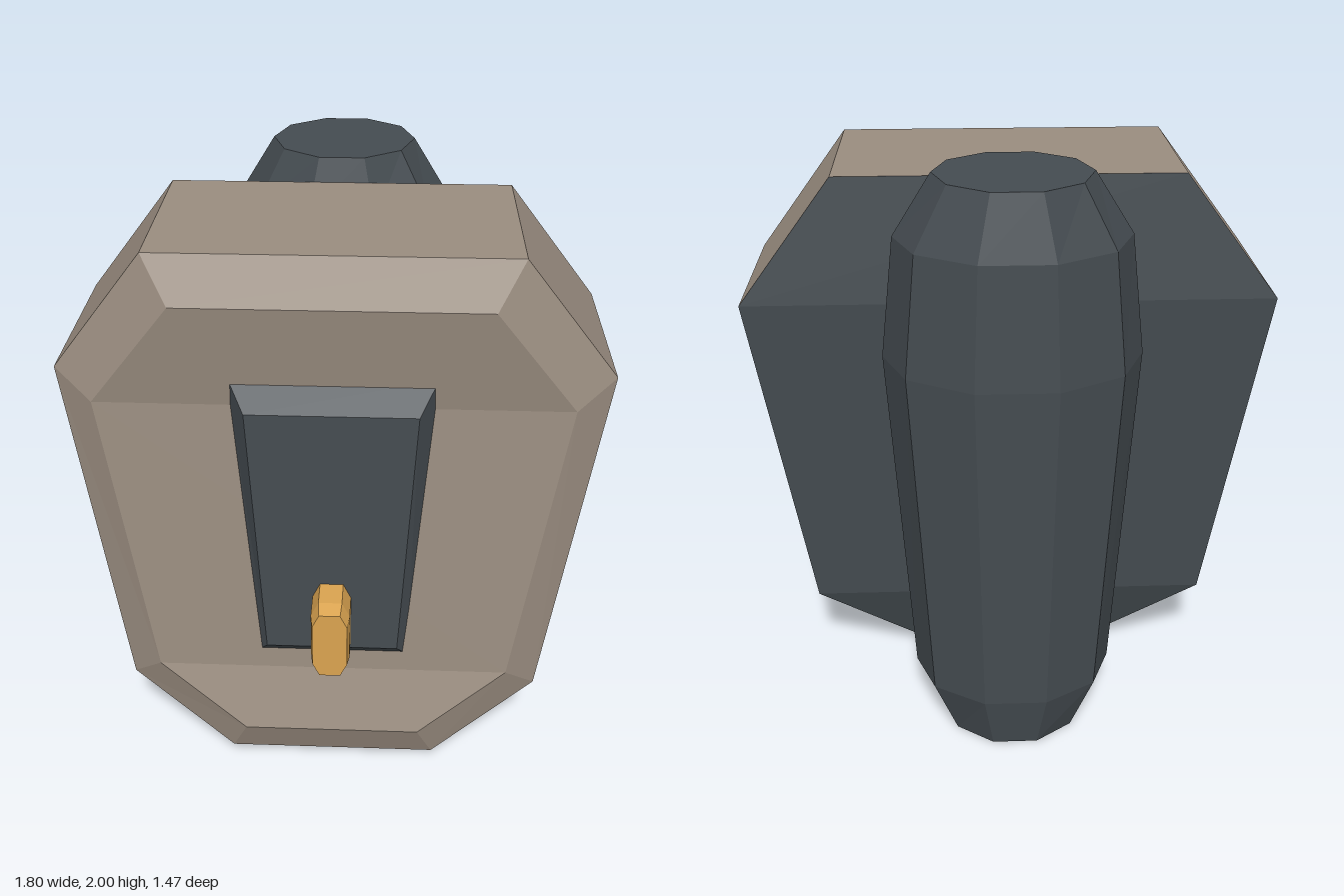
import * as THREE from 'three';

const mat = (name, color) => {
  const m = new THREE.MeshStandardMaterial({ color });
  m.name = name;
  return m;
};

// A ring is given by its +x half, bottom to top, as [x, y, z]; the other half is mirrored.
const mirror = ([x, y, z]) => [-x, y, z];

// Cap of bands running across x from each point to its mirror.
function cap(half, front) {
  const out = [];
  for (let i = 0; i < half.length - 1; i++) {
    const a = half[i], b = half[i + 1], c = mirror(b), d = mirror(a);
    out.push(...(front ? [a, b, c, a, c, d] : [a, c, b, a, d, c]));
  }
  return out;
}

// Walls joining consecutive rings, ordered back to front.
function walls(halves) {
  const out = [];
  const rings = halves.map(h => [...h, ...h.map(mirror).reverse()]);
  for (let k = 0; k < rings.length - 1; k++) {
    const p = rings[k], q = rings[k + 1], n = p.length;
    for (let i = 0; i < n; i++) {
      const j = (i + 1) % n;
      out.push(p[i], p[j], q[j], p[i], q[j], q[i]);
    }
  }
  return out;
}

function faceted(points) {
  const g = new THREE.BufferGeometry();
  g.setAttribute('position', new THREE.Float32BufferAttribute(points.flat(), 3));
  g.computeVertexNormals();
  return g;
}

const loft = (halves) =>
  faceted([...walls(halves), ...cap(halves[0], false), ...cap(halves[halves.length - 1], true)]);

export function createModel() {
  const group = new THREE.Group();
  const shellMat = mat('warm grey shell', 0x9a8d80);
  const darkMat = mat('dark slate', 0x454c51);
  const goldMat = mat('amber', 0xdba450);
  const add = (name, geometry, material) => {
    const m = new THREE.Mesh(geometry, material);
    m.name = name;
    group.add(m);
    return m;
  };

  // Eight-sided shell with a bevelled, slightly hollow front
  const back = [[0.36, 0.04, -0.06], [0.72, 0.3, -0.15], [0.9, 1.5, -0.23], [0.58, 1.92, -0.18]];
  const rim = [[0.36, 0.04, 0.59], [0.72, 0.3, 0.495], [0.9, 1.5, 0.41], [0.58, 1.92, 0.467]];
  const face = [[0.305, 0.175, 0.64], [0.61, 0.4, 0.565], [0.77, 1.42, 0.495], [0.495, 1.775, 0.543]];
  add('shell', faceted([...walls([back, rim, face]), ...cap(face, true)]), shellMat);
  add('backPlate', faceted(cap(back, false)), darkMat);

  // Tapered raised panel on the front
  add('frontPanel', loft([
    [[0.26, 0.455, 0.54], [0.335, 1.52, 0.485]],
    [[0.225, 0.515, 0.588], [0.275, 1.43, 0.575]],
  ]), darkMat);

  // Small chamfered knob
  const knobRing = (z, w, h) => {
    const y = 0.643;
    return [[w * 0.6, y - h, z], [w, y - h * 0.62, z], [w, y + h * 0.62, z], [w * 0.6, y + h, z]];
  };
  add('knob', loft([
    knobRing(0.56, 0.065, 0.142),
    knobRing(0.685, 0.065, 0.142),
    knobRing(0.735, 0.058, 0.127),
  ]), goldMat);

  // Ten-sided tank behind: [height, x radius, z radius], lofted along z then stood up
  const tank = [[0, 0.25, 0.24], [0.2, 0.345, 0.28], [1.4, 0.42, 0.32], [1.8, 0.375, 0.3], [2, 0.25, 0.24]];
  const tankGeo = loft(tank.map(([h, rx, rz]) =>
    [-72, -36, 0, 36, 72].map(d => {
      const a = THREE.MathUtils.degToRad(d);
      return [rx * Math.cos(a), rz * Math.sin(a), h];
    })));
  tankGeo.rotateX(-Math.PI / 2);
  add('rearTank', tankGeo, darkMat).position.z = -0.43;

  return group;
}
